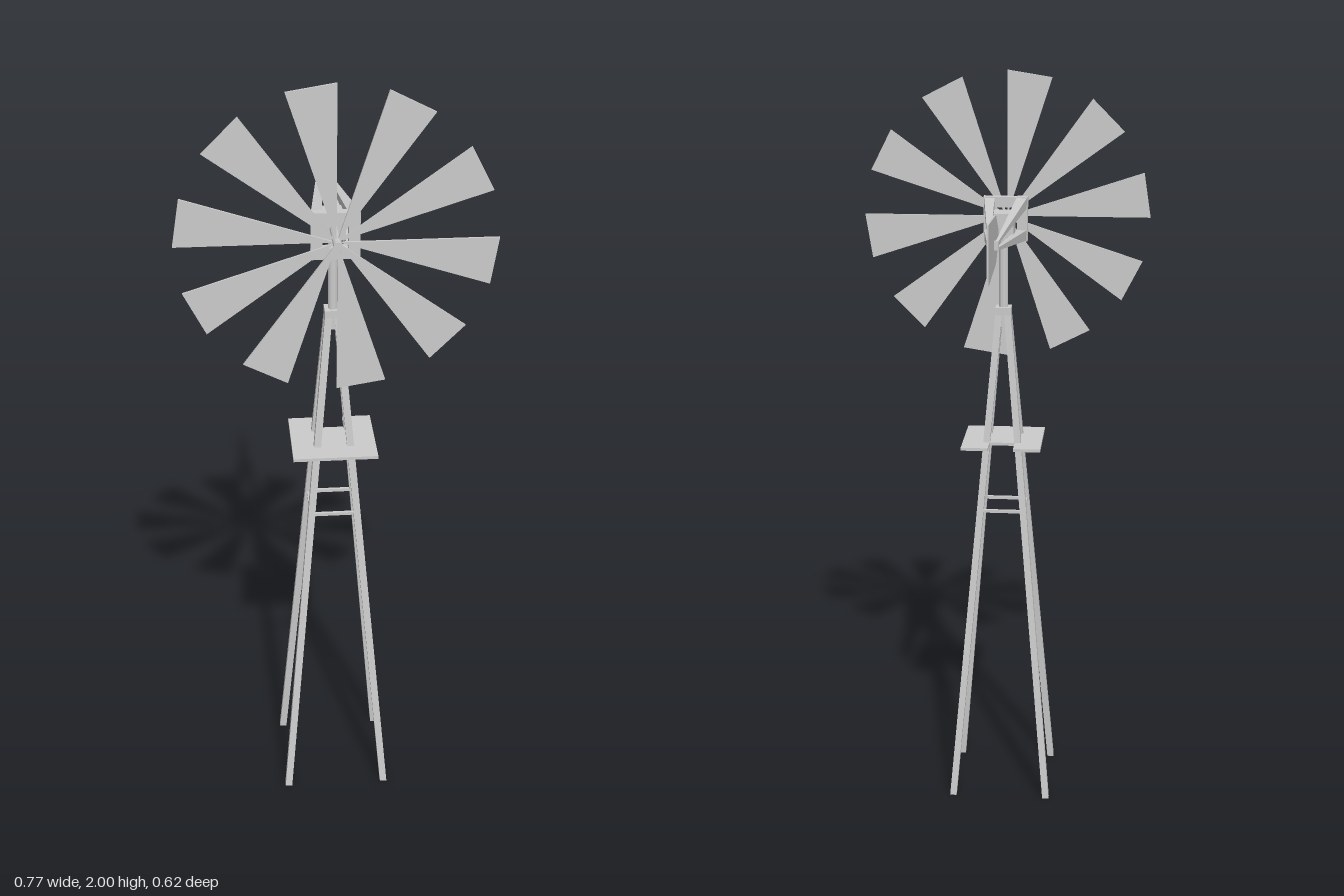
import * as THREE from 'three';

const TZ = 0.167; // tower axis
const HY = 1.614; // rotor axis height

export function createModel() {
  const model = new THREE.Group();
  const mat = new THREE.MeshStandardMaterial({ color: 0xcccccc, flatShading: true });

  const add = (name, geo, x = 0, y = 0, z = 0, parent = model) => {
    const mesh = new THREE.Mesh(geo, mat);
    mesh.name = name;
    mesh.position.set(x, y, z);
    parent.add(mesh);
    return mesh;
  };
  const box = (name, w, h, d, x, y, z, parent) =>
    add(name, new THREE.BoxGeometry(w, h, d), x, y, z, parent);

  // Square beam whose ends stay axis-aligned: a and b are end centres, sa and sb end sizes
  const beam = (axis, a, b, sa, sb) => {
    const geo = new THREE.BoxGeometry(1, 1, 1);
    const p = geo.attributes.position;
    const v = new THREE.Vector3();
    const c = new THREE.Vector3();
    const A = new THREE.Vector3(...a), B = new THREE.Vector3(...b);
    for (let i = 0; i < p.count; i++) {
      v.fromBufferAttribute(p, i);
      const t = v[axis] + 0.5;
      c.lerpVectors(A, B, t);
      v[axis] = 0;
      v.multiplyScalar(sa + (sb - sa) * t).add(c);
      p.setXYZ(i, v.x, v.y, v.z);
    }
    geo.computeVertexNormals();
    return geo;
  };

  const plate = (points, depth) => {
    const shape = new THREE.Shape(points.map(([x, y]) => new THREE.Vector2(x, y)));
    return new THREE.ExtrudeGeometry(shape, { depth, bevelEnabled: false }).translate(0, 0, -depth / 2);
  };

  // Tower: four leaning legs, brace ring, cap and mast
  const tower = new THREE.Group();
  tower.name = 'tower';
  tower.position.z = TZ;
  model.add(tower);
  for (const sx of [-1, 1]) for (const sz of [-1, 1]) {
    add('leg', beam('y', [sx * 0.131, 0, sz * 0.131], [sx * 0.012, 1.37, sz * 0.012], 0.018, 0.018), 0, 0, 0, tower);
  }
  for (const s of [-1, 1]) {
    box('brace', 0.118, 0.008, 0.008, 0, 0.83, s * 0.059, tower);
    box('brace', 0.008, 0.008, 0.118, s * 0.059, 0.83, 0, tower);
  }
  box('towerCap', 0.042, 0.05, 0.042, 0, 1.365, 0, tower);
  add('mast', new THREE.CylinderGeometry(0.012, 0.012, 0.22, 12), 0, 1.49, 0, tower);

  // Platform with an access notch at the back
  const P = 0.107, N = 0.034;
  const deck = plate([[-P, -P], [P, -P], [P, P], [N, P], [N, 0.052], [-N, 0.052], [-N, P], [-P, P]], 0.008);
  deck.rotateX(-Math.PI / 2);
  add('platform', deck, 0, 1.02, 0, tower);

  // Head frame: four tapering bars from a square front ring to a small rear block
  const head = new THREE.Group();
  head.name = 'head';
  head.position.y = HY;
  model.add(head);
  for (const sx of [-1, 1]) for (const sy of [-1, 1]) {
    add('frameBar', beam('z', [sx * 0.01, sy * 0.008, -0.155], [sx * 0.045, sy * 0.045, 0.249], 0.007, 0.029), 0, 0, 0, head);
  }
  for (const s of [-1, 1]) {
    box('frontRail', 0.118, 0.028, 0.024, 0, s * 0.045, 0.237, head);
    box('frontRail', 0.028, 0.07, 0.024, s * 0.045, 0, 0.237, head);
  }
  box('rearBlock', 0.027, 0.023, 0.01, 0, 0, -0.153, head);
  box('gearbox', 0.058, 0.06, 0.076, 0, 0, 0.166, head);

  // Rotor shaft
  const shaft = new THREE.CylinderGeometry(0.011, 0.011, 0.12, 12).rotateX(Math.PI / 2);
  add('shaft', shaft, 0, 0, 0.252, head);

  // Rotor: ten flat wedge blades, each filling half of its sector
  const rotor = new THREE.Group();
  rotor.name = 'rotor';
  rotor.position.z = 0.283;
  head.add(rotor);
  const R = 0.386, span = Math.PI / 10;
  const blade = plate([[0.004, 0], [R * Math.cos(span), -R * Math.sin(span)], [R, 0]], 0.006);
  for (let i = 0; i < 10; i++) {
    // the upright blade of each pair has its leading edge on the sector line
    add('blade', blade, 0, 0, 0, rotor).rotation.z = i * 2 * span;
  }

  // Tail vane
  const vane = plate([[-0.312, -0.071], [-0.312, 0.078], [-0.1, 0.067], [-0.02, 0.012], [-0.02, -0.01], [-0.1, -0.056]], 0.005);
  vane.rotateY(-Math.PI / 2);
  add('tailVane', vane, 0, 0, 0, head);

  return model;
}
